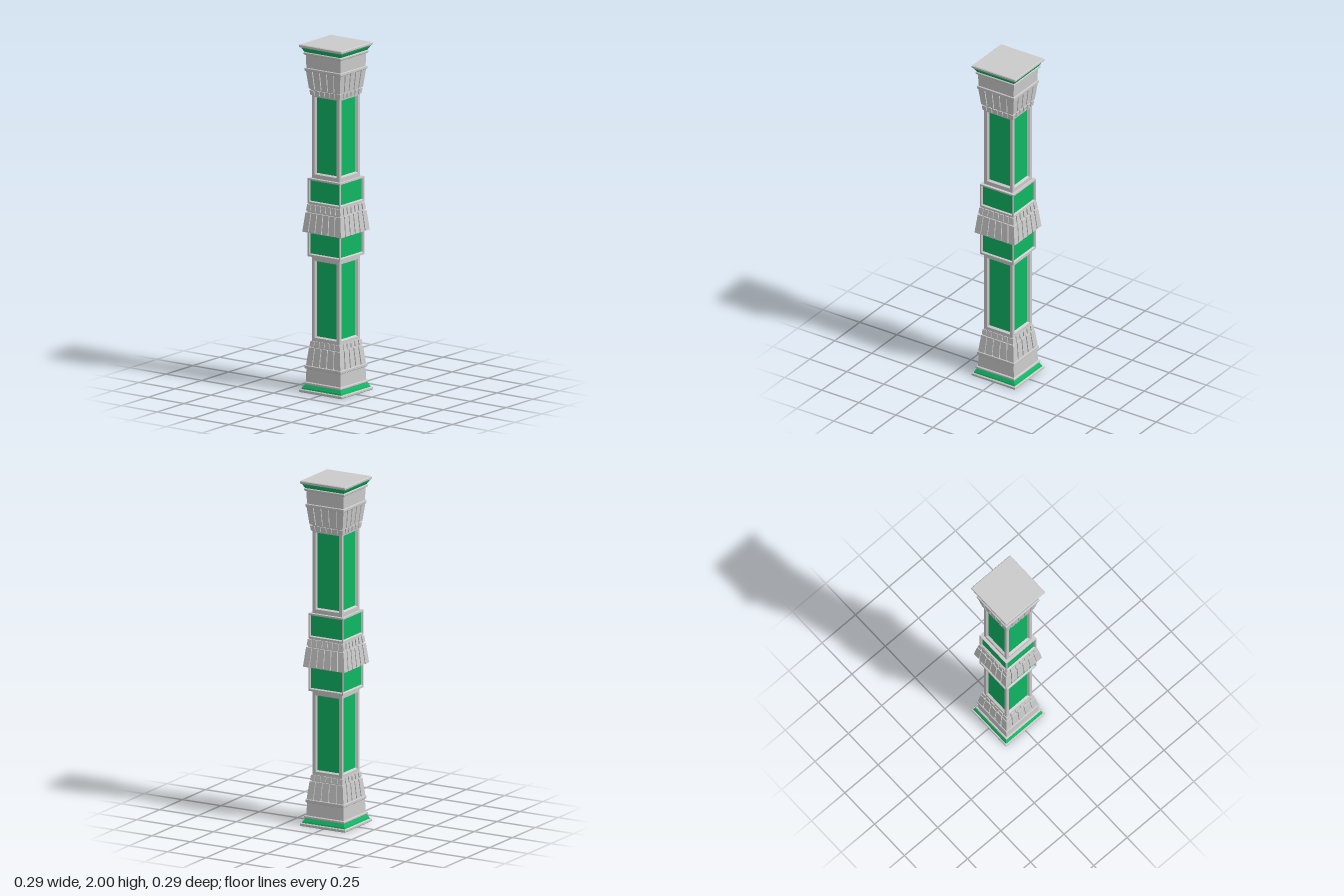
import * as THREE from 'three';

const grey = new THREE.MeshStandardMaterial({ color: 0xcccccc, flatShading: true });
const green = new THREE.MeshStandardMaterial({ color: 0x10b764, flatShading: true });

function add(parent, geometry, material, name) {
  const mesh = new THREE.Mesh(geometry, material);
  mesh.name = name;
  parent.add(mesh);
  return mesh;
}

// Square solid from [half width, y] pairs listed bottom to top, closed at both ends
function squareLoft(parent, profile, material, name) {
  const pts = [[0, profile[0][1]], ...profile, [0, profile.at(-1)[1]]]
    .map(([h, y]) => new THREE.Vector2(h * Math.SQRT2, y));
  return add(parent, new THREE.LatheGeometry(pts, 4, Math.PI / 4), material, name);
}

// Repeats a part on the four sides
function onFourSides(parent, name, build) {
  for (let i = 0; i < 4; i++) {
    const side = new THREE.Group();
    side.name = name + (i + 1);
    side.rotation.y = i * Math.PI / 2;
    build(side);
    parent.add(side);
  }
}

// Picture frame from nested rectangles: [half width, bottom, top, z]
function frameGeometry(rects) {
  const pos = [], index = [];
  for (const [w, b, t, z] of rects) pos.push(-w, b, z, w, b, z, w, t, z, -w, t, z);
  for (let r = 0; r < rects.length - 1; r++) {
    for (let i = 0; i < 4; i++) {
      const a = r * 4 + i, b = r * 4 + (i + 1) % 4;
      index.push(a, b, b + 4, a, b + 4, a + 4);
    }
  }
  const g = new THREE.BufferGeometry();
  g.setAttribute('position', new THREE.Float32BufferAttribute(pos, 3));
  g.setIndex(index);
  g.computeVertexNormals();
  return g;
}

// Square section with a sunken green panel on each side
function panelSection(parent, name, half, y0, y1, panelHalf, p0, p1, depth) {
  const section = new THREE.Group();
  section.name = name;
  const lip = depth * 0.5, back = half - 0.04;
  const geometry = frameGeometry([
    [back, y0, y1, back],
    [half, y0, y1, half],
    [panelHalf + lip, p0 - lip, p1 + lip, half],
    [panelHalf, p0, p1, half - depth],
  ]);
  onFourSides(section, 'side', (side) => {
    add(side, geometry, grey, 'frame');
    const panel = add(side, new THREE.PlaneGeometry(panelHalf * 2, p1 - p0), green, 'panel');
    panel.position.set(0, (p0 + p1) / 2, half - depth);
  });
  parent.add(section);
}

// Row of raised slats following a flared face, fanning with its width
function slatRow(parent, name, y0, h0, y1, h1, count, fill) {
  const pitch = 2 / (count - 1 + fill);
  onFourSides(parent, name, (side) => {
    for (let i = 0; i < count; i++) {
      const g = new THREE.BoxGeometry(pitch * fill, 1, 1);
      const p = g.attributes.position;
      const centre = (i - (count - 1) / 2) * pitch;
      for (let v = 0; v < p.count; v++) {
        const t = p.getY(v) + 0.5;
        const h = THREE.MathUtils.lerp(h0, h1, t);
        const z = p.getZ(v) > 0 ? h : h - 0.012;
        p.setXYZ(v, (p.getX(v) + centre) * h, THREE.MathUtils.lerp(y0, y1, t), z);
      }
      g.computeVertexNormals();
      add(side, g, grey, 'slat');
    }
  });
}

// Base block; the capital is the same part turned over
function endBlock(name) {
  const group = new THREE.Group();
  group.name = name;
  squareLoft(group, [[0.143, 0], [0.147, 0.004], [0.147, 0.014], [0.143, 0.018]], grey, 'plate');
  squareLoft(group, [[0.138, 0.018], [0.136, 0.026], [0.124, 0.046]], green, 'greenMoulding');
  squareLoft(group, [[0.126, 0.044], [0.13, 0.048], [0.13, 0.056], [0.126, 0.06]], grey, 'lowerMoulding');
  squareLoft(group, [[0.121, 0.058], [0.118, 0.138]], grey, 'plinth');
  squareLoft(group, [[0.122, 0.135], [0.125, 0.138], [0.125, 0.151], [0.122, 0.154]], grey, 'upperMoulding');
  squareLoft(group, [[0.113, 0.152], [0.1, 0.26], [0.096, 0.302]], grey, 'flaredCore');
  slatRow(group, 'slats', 0.154, 0.12, 0.256, 0.108, 5, 0.84);
  slatRow(group, 'dentils', 0.264, 0.106, 0.293, 0.102, 6, 0.74);
  return group;
}

export function createModel() {
  const model = new THREE.Group();
  model.name = 'pillar';

  // Base and capital
  model.add(endBlock('base'));
  const capital = endBlock('capital');
  capital.rotation.x = Math.PI;
  capital.position.y = 2;
  model.add(capital);

  // Long panelled shafts
  panelSection(model, 'lowerShaft', 0.096, 0.295, 0.785, 0.07, 0.32, 0.75, 0.014);
  panelSection(model, 'upperShaft', 0.096, 1.225, 1.705, 0.07, 1.26, 1.698, 0.014);

  // Panelled bands either side of the collar
  panelSection(model, 'lowerBand', 0.113, 0.78, 0.925, 0.1, 0.797, 0.914, 0.01);
  panelSection(model, 'upperBand', 0.113, 1.085, 1.23, 0.1, 1.1, 1.216, 0.01);

  // Flared collar at mid height
  const collar = new THREE.Group();
  collar.name = 'collar';
  squareLoft(collar, [[0.128, 0.922], [0.113, 1.04], [0.108, 1.088]], grey, 'collarCore');
  slatRow(collar, 'collarSlats', 0.922, 0.135, 1.034, 0.122, 6, 0.84);
  slatRow(collar, 'collarDentils', 1.043, 0.12, 1.08, 0.115, 7, 0.74);
  model.add(collar);

  return model;
}
